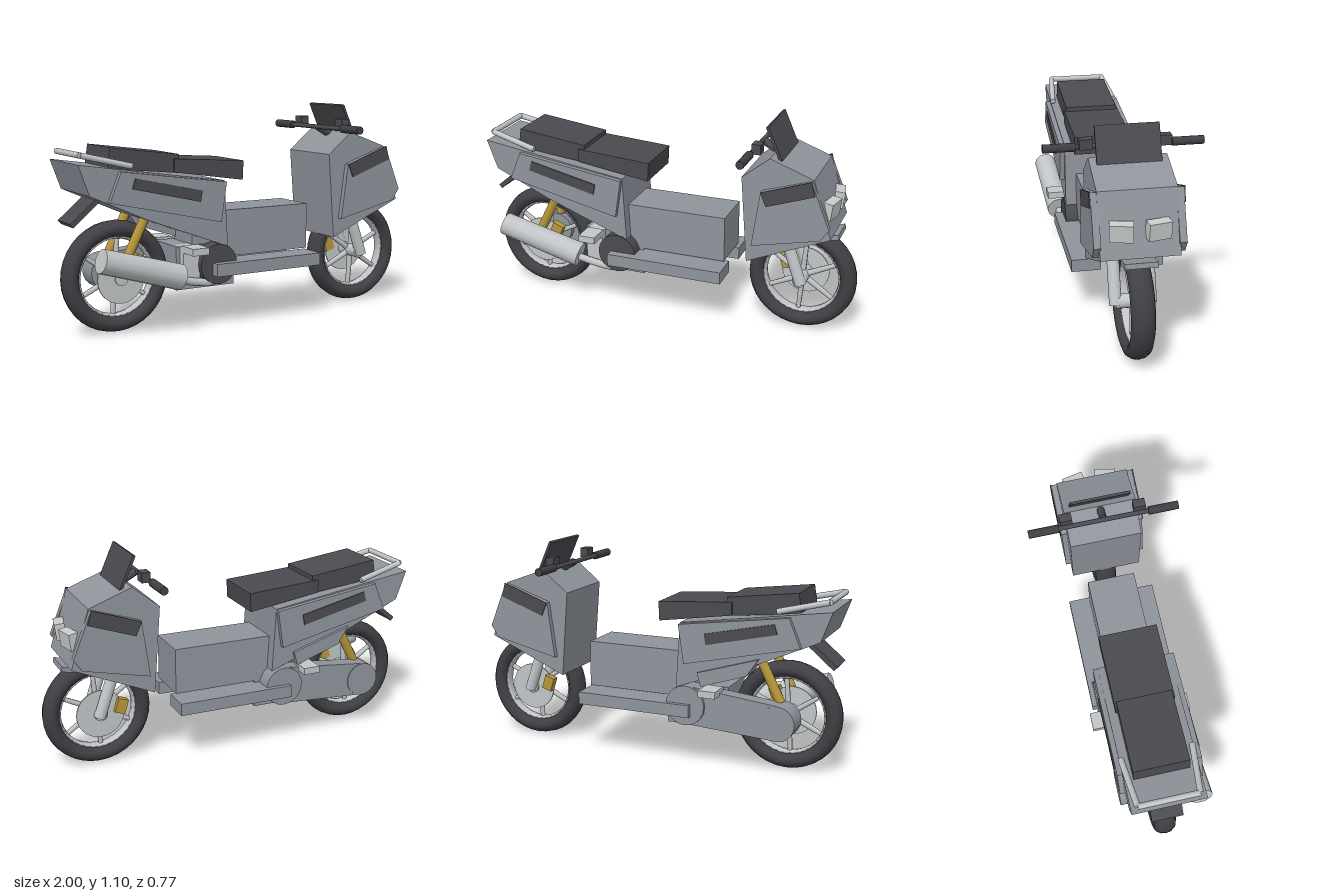
import * as THREE from 'three';

const mat = (name, color, opts = {}) => {
  const m = new THREE.MeshStandardMaterial({ color, ...opts });
  m.name = name;
  return m;
};

export function createModel() {
  const grey = mat('body grey', 0x8f949c);
  const dark = mat('seat dark grey', 0x4b4a50);
  const rubber = mat('tyre rubber', 0x403f45);
  const silver = mat('silver metal', 0xc2c6c8);
  const lens = mat('lamp lens', 0xc8cccb);
  const gold = mat('gold', 0xb8973a);

  const root = new THREE.Group();
  root.name = 'scooter';

  const add = (name, geo, material, parent = root) => {
    const m = new THREE.Mesh(geo, material);
    m.name = name;
    parent.add(m);
    return m;
  };
  // Box by centre and size
  const box = (name, [x, y, z], size, material, roll = 0, yaw = 0) => {
    const m = add(name, new THREE.BoxGeometry(...size), material);
    m.position.set(x, y, z);
    m.rotation.set(0, yaw, roll, 'YZX');
    return m;
  };
  // Side profile extruded between two z values
  const slab = (name, pts, z0, z1, material) => {
    const shape = new THREE.Shape(pts.map(p => new THREE.Vector2(...p)));
    const geo = new THREE.ExtrudeGeometry(shape, { depth: z1 - z0, bevelEnabled: false });
    return add(name, geo.translate(0, 0, z0), material);
  };
  // Round bar between two points
  const rod = (name, a, b, r0, r1, material, sides = 12, parent = root) => {
    const va = new THREE.Vector3(...a), vb = new THREE.Vector3(...b);
    const d = vb.clone().sub(va);
    const m = add(name, new THREE.CylinderGeometry(r1, r0, d.length(), sides), material, parent);
    m.position.copy(va).add(vb).multiplyScalar(0.5);
    m.quaternion.setFromUnitVectors(new THREE.Vector3(0, 1, 0), d.normalize());
    return m;
  };

  // Wheels with rim, spokes, hub and one brake disc
  const wheel = (name, x, discZ) => {
    const g = new THREE.Group();
    g.name = name;
    g.position.set(x, 0.283, 0);
    root.add(g);
    add('tyre', new THREE.TorusGeometry(0.238, 0.042, 12, 36).scale(1, 1, 1.38), rubber, g);
    add('rim', new THREE.TorusGeometry(0.197, 0.01, 6, 36).scale(1, 1, 3), silver, g);
    rod('hub', [0, 0, -0.085], [0, 0, 0.085], 0.035, 0.035, silver, 14, g);
    for (let i = 0; i < 6; i++) {
      const a = (i / 6) * Math.PI * 2 + 0.45, c = Math.cos(a), s = Math.sin(a);
      rod('spoke', [c * 0.025, s * 0.025, 0], [c * 0.197, s * 0.197, 0], 0.016, 0.012, silver, 6, g);
    }
    rod('brakeDisc', [0, 0, discZ - 0.004], [0, 0, discZ + 0.004], 0.125, 0.125, silver, 28, g);
  };
  wheel('frontWheel', 0.72, -0.066);
  wheel('rearWheel', -0.72, 0.074);
  box('frontCaliper', [0.615, 0.315, -0.075], [0.055, 0.075, 0.04], gold, 0.3);
  box('rearCaliper', [-0.63, 0.36, 0.085], [0.06, 0.07, 0.04], gold, -0.4);

  // Front cowl
  slab('frontCowl', [[0.435, 0.845], [0.575, 0.957], [0.795, 0.876], [0.89, 0.58], [0.47, 0.4]],
    -0.186, 0.186, grey);
  for (const s of [-1, 1]) {
    const side = (name, pts, a, b, m) => slab(name, pts, Math.min(a * s, b * s), Math.max(a * s, b * s), m);
    side('cowlSidePanel', [[0.5, 0.5], [0.54, 0.79], [0.79, 0.872], [0.885, 0.64], [0.845, 0.58]], 0.18, 0.214, grey);
    side('cowlStripe', [[0.54, 0.79], [0.79, 0.877], [0.81, 0.805], [0.57, 0.72]], 0.213, 0.22, dark);
    box('headlight', [0.865, 0.705, s * 0.085], [0.05, 0.085, 0.11], lens, -0.12, s * -0.2);

    // Fork legs
    rod('forkLeg', [0.65, 0.5, s * 0.085], [0.73, 0.27, s * 0.085], 0.03, 0.03, silver, 14);

    // Handlebar ends
    rod('grip', [0.485, 0.98, s * 0.23], [0.485, 0.98, s * 0.385], 0.021, 0.021, rubber);
    box('switchBox', [0.513, 1.005, s * 0.188], [0.045, 0.05, 0.062], dark);

    // Tail side panel and stripe
    side('tailSidePanel', [[-0.77, 0.82], [-0.2, 0.74], [-0.23, 0.54], [-0.83, 0.675]], 0.16, 0.208, grey);
    side('tailStripe', [[-0.7, 0.785], [-0.34, 0.705], [-0.35, 0.65], [-0.715, 0.735]], 0.207, 0.214, dark);

    // Footboard and rear shock
    side('footboard', [[-0.27, 0.27], [0.35, 0.27], [0.35, 0.334], [-0.27, 0.334]], 0.085, 0.235, grey);
    rod('rearShock', [-0.6, 0.59, s * 0.11], [-0.71, 0.37, s * 0.11], 0.024, 0.024, gold, 10);

    // Footpeg
    box('footpeg', [-0.375, 0.41, s * 0.2], [0.09, 0.035, 0.12], silver);
  }
  box('frontMudguard', [0.86, 0.542, 0], [0.1, 0.025, 0.155], grey, 0.2);
  box('windscreen', [0.583, 1.018, 0], [0.014, 0.182, 0.306], dark, 0.42);
  rod('handlebar', [0.485, 0.98, -0.25], [0.485, 0.98, 0.25], 0.012, 0.012, dark);
  rod('steeringStem', [0.6, 0.92, 0], [0.49, 0.98, 0], 0.02, 0.02, dark);

  // Centre tunnel and engine
  box('centreTunnel', [0.07, 0.466, 0], [0.53, 0.238, 0.25], grey);
  box('engineBlock', [-0.275, 0.31, 0], [0.33, 0.22, 0.238], grey);
  box('gearboxTop', [-0.265, 0.43, 0], [0.15, 0.08, 0.2], grey);
  box('cylinderBlock', [-0.375, 0.335, 0.11], [0.09, 0.17, 0.1], silver);
  rod('engineCover', [-0.235, 0.325, 0.11], [-0.235, 0.325, 0.19], 0.103, 0.103, dark, 20);

  // Swing arm housing on the right
  slab('swingArm', [[-0.24, 0.425], [-0.72, 0.375], [-0.72, 0.195], [-0.24, 0.225]], -0.195, -0.115, grey);
  rod('driveCover', [-0.24, 0.325, -0.21], [-0.24, 0.325, -0.11], 0.103, 0.103, grey, 20);
  rod('rearHubCover', [-0.72, 0.285, -0.2], [-0.72, 0.285, -0.08], 0.09, 0.09, grey, 20);
  slab('airBox', [[-0.62, 0.6], [-0.3, 0.5], [-0.32, 0.43], [-0.56, 0.51]], -0.2, -0.08, grey);

  // Exhaust
  rod('muffler', [-0.45, 0.28, 0.185], [-0.88, 0.405, 0.207], 0.065, 0.06, silver, 12);
  const pipe = new THREE.CatmullRomCurve3([[-0.46, 0.27, 0.185], [-0.36, 0.245, 0.175],
    [-0.25, 0.235, 0.16], [-0.2, 0.27, 0.11]].map(p => new THREE.Vector3(...p)));
  add('exhaustPipe', new THREE.TubeGeometry(pipe, 14, 0.02, 8), silver);

  // Tail body and seats
  slab('tailBody', [[-0.975, 0.86], [-0.92, 0.71], [-0.62, 0.575], [-0.18, 0.41], [-0.2, 0.745]],
    -0.183, 0.183, grey);
  slab('frontSeat', [[-0.46, 0.862], [-0.068, 0.835], [-0.073, 0.737], [-0.46, 0.795]], -0.148, 0.148, dark);
  slab('rearSeat', [[-0.795, 0.93], [-0.43, 0.883], [-0.43, 0.79], [-0.81, 0.83]], -0.138, 0.138, dark);

  // Grab rail
  const railPts = [[-0.7, 0.84, 0.175], [-0.95, 0.9, 0.15], [-0.95, 0.9, -0.15], [-0.7, 0.84, -0.175]];
  for (let i = 0; i < 3; i++) rod('grabRail', railPts[i], railPts[i + 1], 0.015, 0.015, silver, 10);

  // Rear mudguard flap
  box('rearFlap', [-0.895, 0.625, 0], [0.2, 0.025, 0.16], dark, 0.7);

  return root;
}
